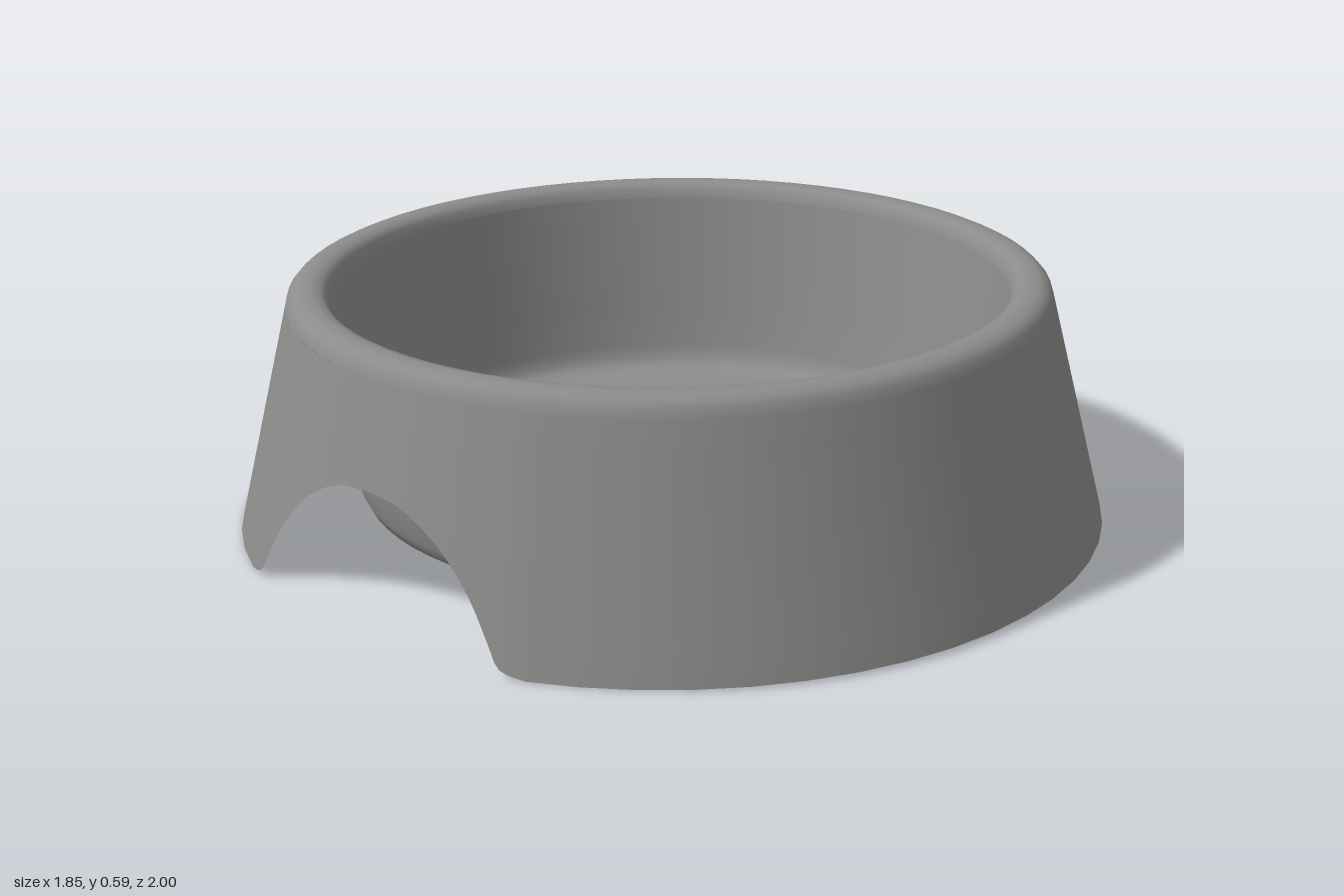
import * as THREE from 'three';

const BASE = 0.015, SHOULDER = 0.535;
// Outer radius of the flared skirt at a height
const radiusAt = (y) => 1 - 0.13 * (y - BASE) / (SHOULDER - BASE);

// Flared wall whose lower edge follows the two hand cut-outs
function skirtGeometry() {
  const arch = new THREE.CatmullRomCurve3([
    [0, 0.315], [0.09, 0.305], [0.2, 0.25], [0.29, 0.16], [0.345, 0.075], [0.375, 0.03], [0.43, BASE],
  ].map(([z, y]) => new THREE.Vector3(z, y, 0))).getPoints(18);
  const quarter = arch.map((p) => ({ t: Math.asin(p.x / radiusAt(p.y)), y: p.y }));
  const start = quarter[quarter.length - 1].t, steps = 10;
  for (let i = 1; i <= steps; i++) {
    quarter.push({ t: start + (Math.PI / 2 - start) * i / steps, y: BASE });
  }
  // Mirror the quarter to a half turn, then repeat it for the other side
  const half = [...quarter, ...quarter.slice(1, -1).reverse().map((c) => ({ t: Math.PI - c.t, y: c.y }))];
  const columns = [
    ...half,
    { t: Math.PI, y: quarter[0].y },
    ...half.slice(1).map((c) => ({ t: Math.PI + c.t, y: c.y })),
  ];

  const rows = 8, positions = [], index = [];
  for (const { t, y: low } of columns) {
    for (let j = 0; j <= rows; j++) {
      const y = low + (SHOULDER - low) * j / rows, r = radiusAt(y);
      positions.push(r * Math.cos(t), y, r * Math.sin(t));
    }
  }
  for (let i = 0; i < columns.length; i++) {
    const a = i * (rows + 1), b = ((i + 1) % columns.length) * (rows + 1);
    for (let j = 0; j < rows; j++) {
      index.push(a + j, a + j + 1, b + j, b + j, a + j + 1, b + j + 1);
    }
  }
  const geometry = new THREE.BufferGeometry();
  geometry.setAttribute('position', new THREE.Float32BufferAttribute(positions, 3));
  geometry.setIndex(index);
  geometry.computeVertexNormals();
  return geometry;
}

const lathe = (points) =>
  new THREE.LatheGeometry(points.map(([r, y]) => new THREE.Vector2(r, y)), 72);

export function createModel() {
  const grey = new THREE.MeshStandardMaterial({ color: 0x8c8c8a, side: THREE.DoubleSide });
  grey.name = 'grey plastic';
  const model = new THREE.Group();
  model.name = 'feedingBowl';

  const add = (name, geometry) => {
    const mesh = new THREE.Mesh(geometry, grey);
    mesh.name = name;
    model.add(mesh);
  };

  add('skirt', skirtGeometry());

  // Rounded rim, from the skirt's shoulder over to the inside edge
  add('rim', lathe([
    [0.87, SHOULDER], [0.864, 0.555], [0.852, 0.568], [0.835, 0.576], [0.81, 0.577],
    [0.79, 0.572], [0.778, 0.56], [0.772, 0.54],
  ]));

  // Inside wall and floor
  add('basin', lathe([
    [0.772, 0.54], [0.748, 0.4], [0.725, 0.26], [0.709, 0.16], [0.7, 0.13], [0.685, 0.113],
    [0.66, 0.104], [0.62, 0.1], [0, 0.1],
  ]));

  // Underside of the basin, hidden behind the skirt
  add('basinUnderside', lathe([
    [0, 0.065], [0.66, 0.065], [0.69, 0.069], [0.712, 0.082], [0.726, 0.11], [0.735, 0.16],
    [0.752, 0.26], [0.776, 0.4], [0.8, 0.52], [0.815, 0.54], [0.868, 0.54],
  ]));

  // The bowl leans very slightly towards its right
  model.rotation.z = 0.0145;
  return model;
}
